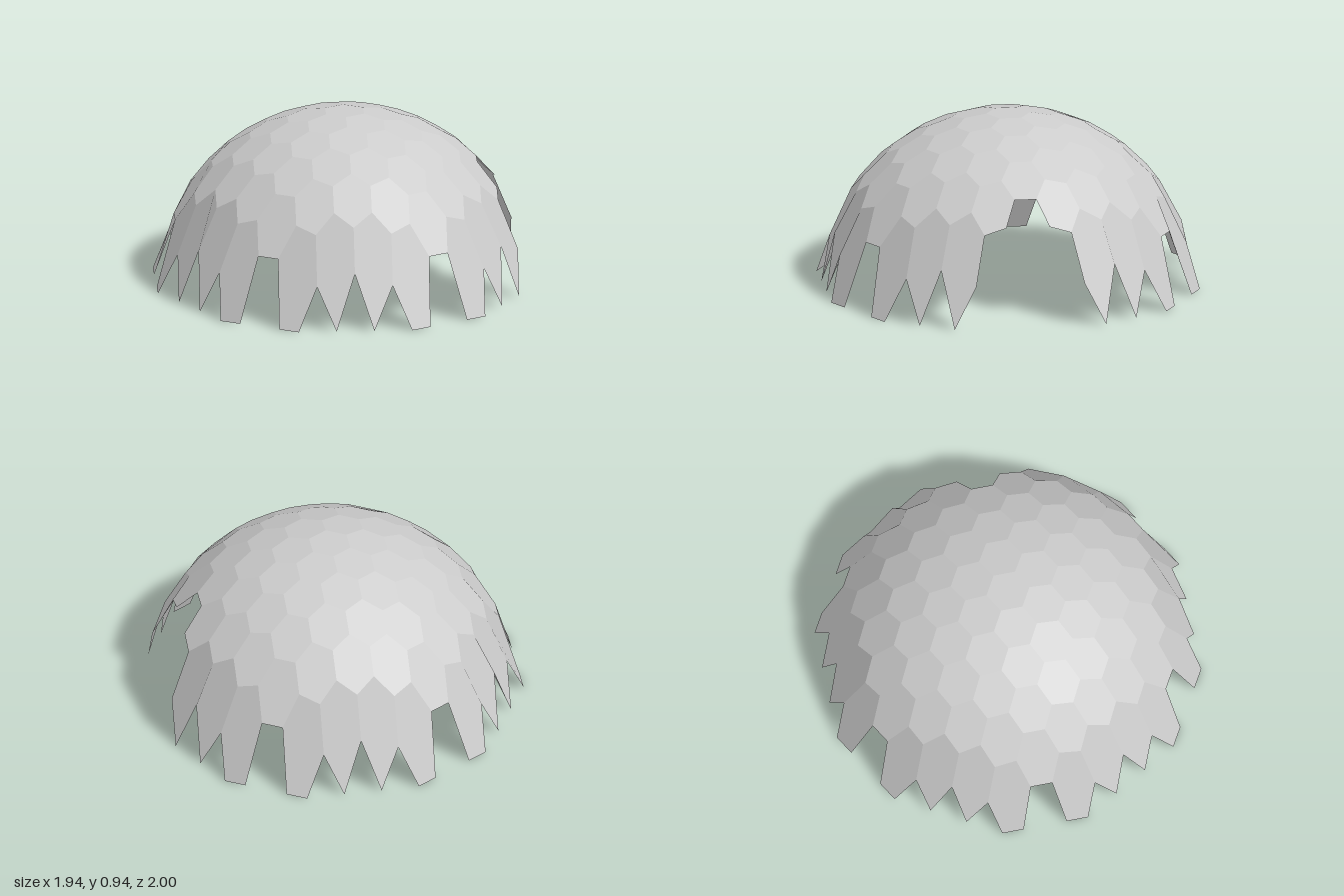
import * as THREE from 'three';

const S = 2 / 17;               // hexagon corner radius
const W = S * Math.sqrt(3);     // hexagon width
const ROW = S * 1.5;            // spacing of rows
const K = 0.988;                // squared ground radius of the dome
const FLATTEN = 1.11;           // squared ratio of radius to height
const CX = W / 4;               // dome axis, offset by the missing doorway panels

// Height of the ellipsoid over a ground point; points outside drop to the ground
const height = (x, z) => Math.sqrt(Math.max(0, (K - x * x - z * z) / FLATTEN));

// Corners of one panel, seen counter-clockwise from above
function hexCorners(cx, cz) {
  const corners = [];
  for (let i = 0; i < 6; i++) {
    const a = Math.PI / 6 + i * Math.PI / 3;
    const x = cx + S * Math.cos(a), z = cz - S * Math.sin(a);
    corners.push(new THREE.Vector3(x, height(x, z), z));
  }
  return corners;
}

// Flat-shaded hexagons, each with one average normal
function panelGeometry(panels) {
  const pos = [], nor = [], index = [];
  for (const c of panels) {
    const n = new THREE.Vector3();
    c.forEach((p, i) => n.add(new THREE.Vector3().crossVectors(p, c[(i + 1) % 6])));
    n.normalize();
    const base = pos.length / 3;
    for (const p of c) {
      pos.push(p.x + CX, p.y, p.z);
      nor.push(n.x, n.y, n.z);
    }
    for (let i = 1; i < 5; i++) index.push(base, base + i, base + i + 1);
  }
  const g = new THREE.BufferGeometry();
  g.setAttribute('position', new THREE.Float32BufferAttribute(pos, 3));
  g.setAttribute('normal', new THREE.Float32BufferAttribute(nor, 3));
  g.setIndex(index);
  return g;
}

export function createModel() {
  const group = new THREE.Group();
  group.name = 'hexagonPanelDome';
  const material = new THREE.MeshStandardMaterial({ color: 0xcccccc, side: THREE.DoubleSide });
  material.name = 'light grey';

  const roof = [], skirt = [];
  for (let r = -5; r <= 5; r++) {
    for (let k = -6; k <= 6; k++) {
      const x = (k + (r % 2 ? 0.5 : 0)) * W, z = r * ROW;
      if (x * x + z * z > K) continue;
      // doorway on the left side
      if (Math.abs(r) <= 1 && x > 3.8 * W) continue;
      const corners = hexCorners(x, z);
      (corners.some(p => p.y === 0) ? skirt : roof).push(corners);
    }
  }

  // Upper shell, then the panels whose feet reach the ground
  for (const [name, panels] of [['roofPanels', roof], ['groundPanels', skirt]]) {
    const mesh = new THREE.Mesh(panelGeometry(panels), material);
    mesh.name = name;
    group.add(mesh);
  }
  return group;
}
